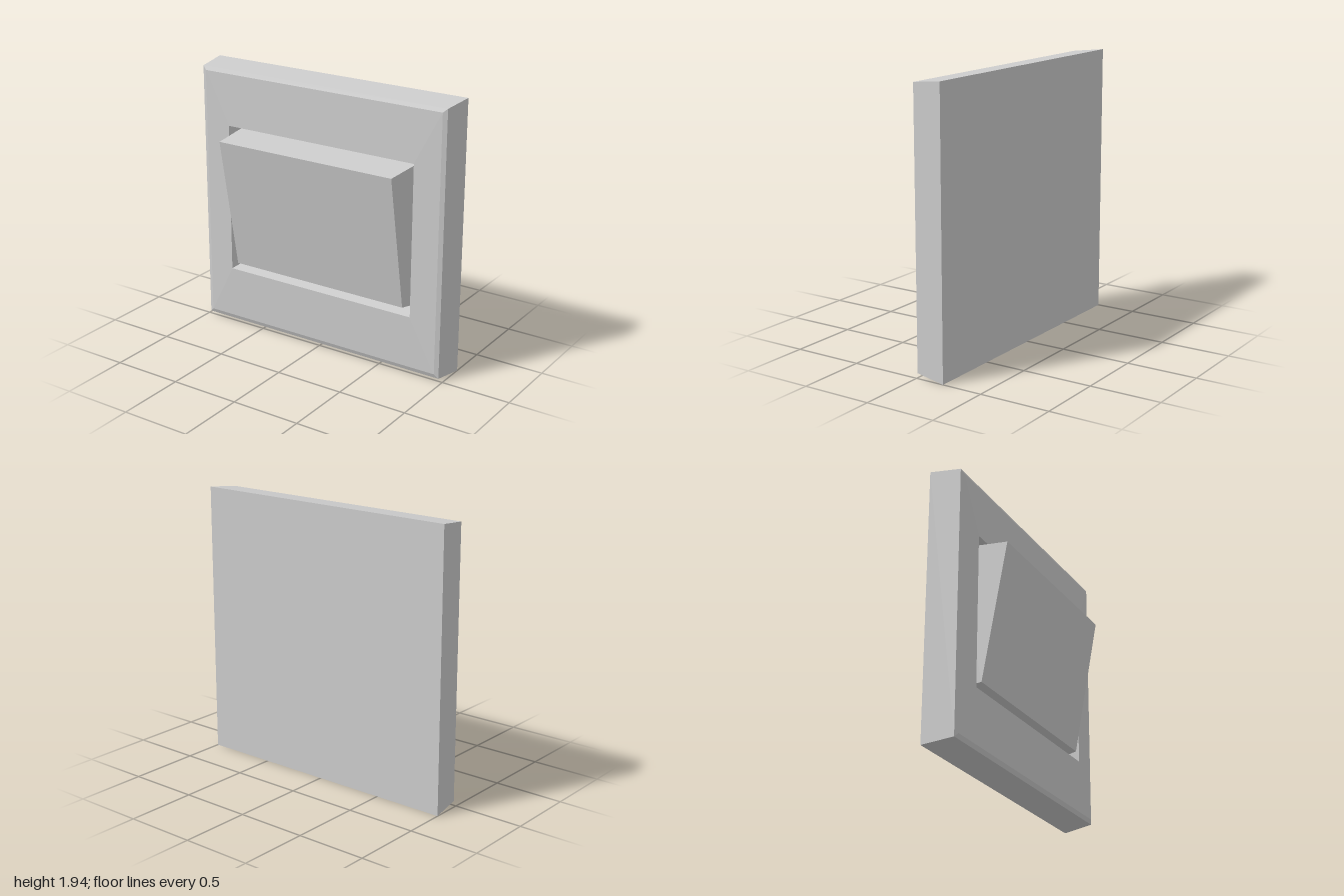
import * as THREE from 'three';

// Rectangular ring [halfWidth, bottom, top, zBottom, zTop], counter-clockwise from the front
const corners = ([w, y0, y1, z0, z1 = z0]) => [[-w, y0, z0], [w, y0, z0], [w, y1, z1], [-w, y1, z1]];

// Skin consecutive rings, optionally closing the first (back) and last (front)
function loft(name, sections, capBack, capFront, material) {
  const rings = sections.map(corners);
  const pos = [];
  const quad = (a, b, c, d) => pos.push(...a, ...b, ...c, ...a, ...c, ...d);
  for (let i = 0; i < rings.length - 1; i++) {
    for (let k = 0; k < 4; k++) {
      const n = (k + 1) % 4;
      quad(rings[i][k], rings[i][n], rings[i + 1][n], rings[i + 1][k]);
    }
  }
  if (capBack) quad(...[...rings[0]].reverse());
  if (capFront) quad(...rings[rings.length - 1]);
  const geometry = new THREE.BufferGeometry();
  geometry.setAttribute('position', new THREE.Float32BufferAttribute(pos, 3));
  geometry.computeVertexNormals();
  const mesh = new THREE.Mesh(geometry, material);
  mesh.name = name;
  return mesh;
}

export function createModel() {
  const group = new THREE.Group();
  group.name = 'wallSwitch';
  const material = new THREE.MeshStandardMaterial({ color: 0xcccccc, flatShading: true });

  // Tapered wall plate: back, sides, chamfer, face, then the recess and its floor
  group.add(loft('wallPlate', [
    [1.0, 0, 1.94, -0.21],
    [0.975, 0.025, 1.917, 0.01],
    [0.945, 0.055, 1.89, 0.022],
    [0.75, 0.43, 1.517, 0.028],
    [0.72, 0.46, 1.49, -0.15],
  ], true, true, material));

  // Tilted rocker button, standing out at its top edge
  group.add(loft('rockerButton', [
    [0.72, 0.46, 1.487, -0.15],
    [0.692, 0.488, 1.457, 0.032, 0.21],
  ], false, true, material));

  return group;
}
